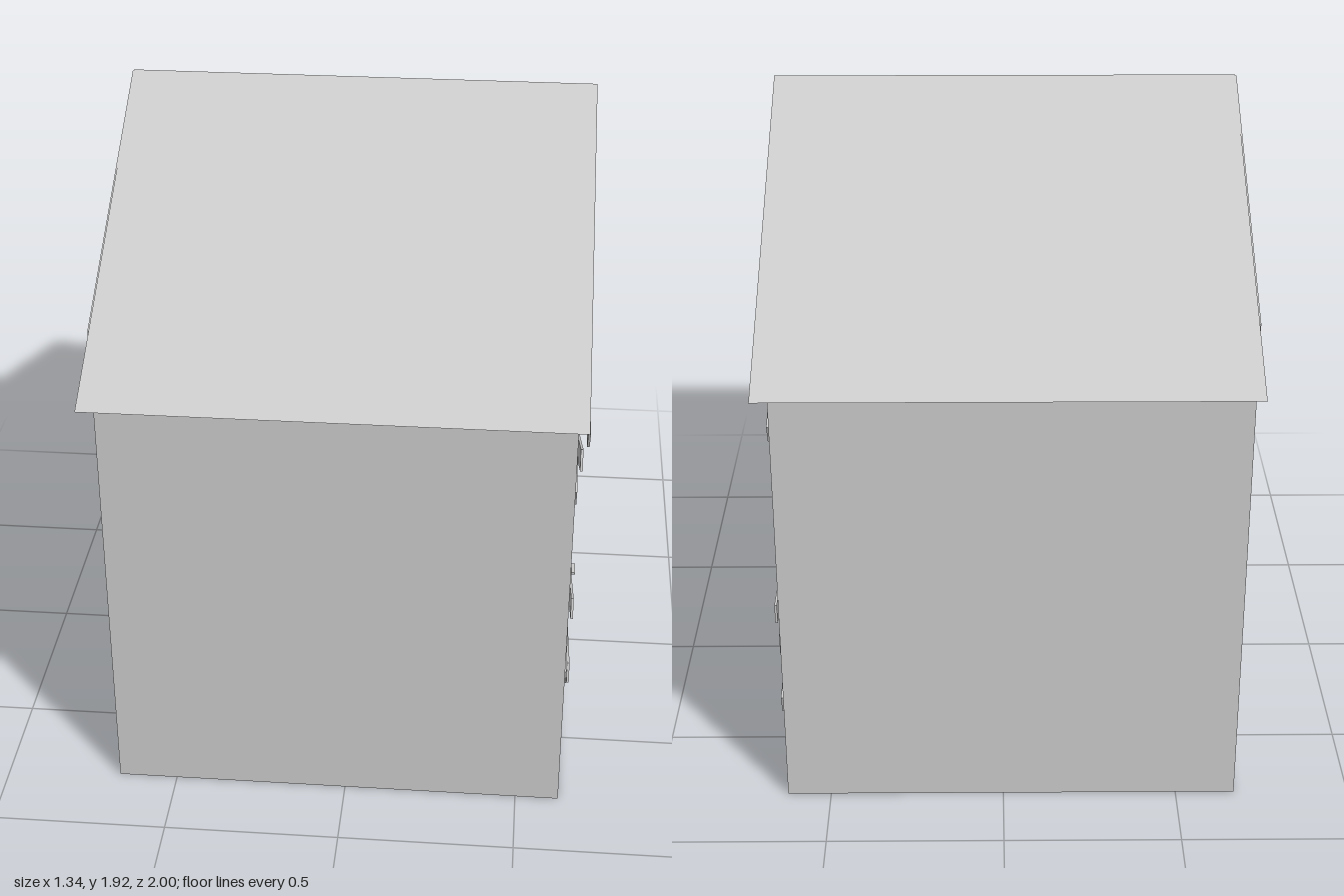
import * as THREE from 'three';

export function createModel() {
  const house = new THREE.Group();
  house.name = 'boardedHouse';
  const grey = new THREE.MeshStandardMaterial({ color: 0xcccccc, side: THREE.DoubleSide });
  grey.name = 'plainGrey';

  const add = (name, geometry, x = 0, y = 0, z = 0) => {
    const mesh = new THREE.Mesh(geometry, grey);
    mesh.name = name;
    mesh.position.set(x, y, z);
    house.add(mesh);
    return mesh;
  };
  const box = (name, w, h, d, x, y, z) => add(name, new THREE.BoxGeometry(w, h, d), x, y, z);

  const BACK = -0.67, FACE = 0.625, HALF = 0.78, EAVE = 1.491, RIDGE = 1.917;
  const midX = (BACK + FACE) / 2, depth = FACE - BACK;

  // Shapes are drawn in (-z, y) and extruded towards +x
  const rect = (path, u0, v0, u1, v1) => {
    path.moveTo(u0, v0);
    path.lineTo(u1, v0);
    path.lineTo(u1, v1);
    path.lineTo(u0, v1);
    path.closePath();
    return path;
  };
  const gable = () => new THREE.Shape([
    [-HALF, 0], [HALF, 0], [HALF, EAVE], [0, RIDGE], [-HALF, EAVE],
  ].map(([u, v]) => new THREE.Vector2(u, v)));
  const extrudeX = (shape, thickness) =>
    new THREE.ExtrudeGeometry(shape, { depth: thickness, bevelEnabled: false }).rotateY(Math.PI / 2);

  // Gable walls, the boarded one with four window openings
  const windows = [
    [-0.70, 0.92, -0.262, 1.347],
    [0.262, 0.93, 0.70, 1.358],
    [-0.70, 0.257, -0.262, 0.684],
    [0.262, 0.267, 0.70, 0.69],
  ];
  const facade = gable();
  windows.forEach((w) => facade.holes.push(rect(new THREE.Path(), ...w)));
  add('windowWall', extrudeX(facade, 0.02), FACE - 0.02);
  add('blankWall', extrudeX(gable(), 0.005), BACK);

  // Side walls and floors
  for (const s of [1, -1]) {
    box('sideWall', depth - 0.002, EAVE, 0.005, midX, EAVE / 2, s * (HALF - 0.0025));
  }
  box('groundFloor', depth - 0.002, 0.005, HALF * 2 - 0.002, midX, 0.0025, 0);
  box('upperFloor', depth - 0.01, 0.006, HALF * 2 - 0.01, midX, 0.765, 0);

  // Thin overhanging roof slopes
  const rise = 0.545;
  for (const s of [1, -1]) {
    const slope = new THREE.PlaneGeometry(1.312, Math.hypot(1, rise));
    slope.rotateX(-Math.atan2(1, rise));
    if (s < 0) slope.rotateY(Math.PI);
    add('roofSlope', slope, -0.01, 1.92 - rise / 2, s * 0.5);
  }

  // Window frames, set just behind the wall face
  const f = 0.024;
  for (const [u0, v0, u1, v1] of windows) {
    const frame = rect(new THREE.Shape(), u0, v0, u1, v1);
    frame.holes.push(rect(new THREE.Path(), u0 + f, v0 + f, u1 - f, v1 - f));
    add('windowFrame', extrudeX(frame, 0.02), FACE - 0.03);
  }

  // Boards nailed over the windows: z, y, x of one end, then of the other
  const boards = [
    [0.72, 1.305, 0.638, 0.265, 1.11, 0.632],
    [0.735, 1.135, 0.638, 0.27, 0.945, 0.63],
    [0.705, 0.995, 0.628, 0.29, 1.18, 0.628],
    [0.735, 1.20, 0.654, 0.305, 1.365, 0.639],
    [-0.26, 1.03, 0.628, -0.64, 1.195, 0.628],
    [-0.245, 1.335, 0.638, -0.705, 1.135, 0.635],
    [-0.225, 1.155, 0.642, -0.69, 0.955, 0.63],
    [0.71, 0.39, 0.628, 0.29, 0.555, 0.628],
    [0.695, 0.62, 0.637, 0.262, 0.47, 0.632],
    [0.695, 0.395, 0.636, 0.262, 0.29, 0.632],
    [-0.25, 0.61, 0.634, -0.745, 0.59, 0.636],
    [-0.25, 0.48, 0.656, -0.72, 0.475, 0.63],
    [-0.26, 0.43, 0.632, -0.735, 0.28, 0.632],
  ];
  for (const [z0, y0, x0, z1, y1, x1] of boards) {
    const a = new THREE.Vector3(x0, y0, z0), b = new THREE.Vector3(x1, y1, z1);
    const along = b.clone().sub(a);
    const board = box('board', 0.007, 0.06, along.length(), 0, 0, 0);
    board.position.copy(a).add(b).multiplyScalar(0.5);
    board.lookAt(b);
  }

  // Door with a lever handle
  box('door', 0.02, 0.43, 0.255, FACE, 0.225, -0.0125);
  box('handleStem', 0.03, 0.007, 0.01, 0.648, 0.21, -0.118);
  box('handleLever', 0.012, 0.007, 0.053, 0.661, 0.21, -0.0965);

  return house;
}
